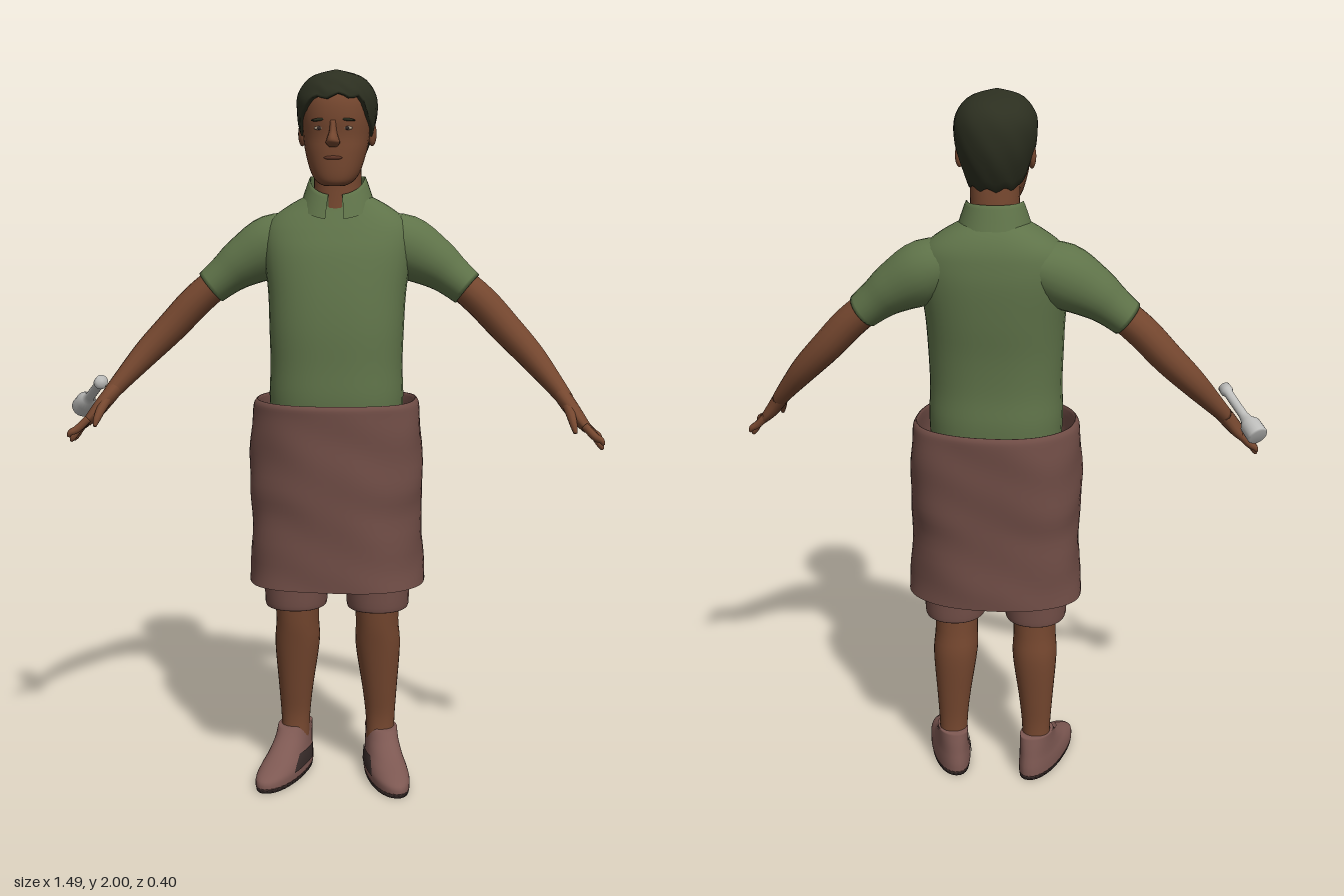
import * as THREE from 'three';

const mat = (name, color, double) => {
  const m = new THREE.MeshStandardMaterial({ color });
  m.name = name;
  if (double) m.side = THREE.DoubleSide;
  return m;
};
const TAU = Math.PI * 2;

// Catmull-Rom refinement of a table of section rows
function smooth(rows, k = 4) {
  const out = [], at = i => rows[Math.max(0, Math.min(rows.length - 1, i))];
  for (let i = 0; i < rows.length - 1; i++) {
    for (let j = 0; j < k; j++) {
      const t = j / k, [a, b, c, d] = [at(i - 1), at(i), at(i + 1), at(i + 2)];
      out.push(b.map((p1, n) => 0.5 * (2 * p1 + (c[n] - a[n]) * t + (2 * a[n] - 5 * p1 + 4 * c[n] - d[n]) * t * t
        + (3 * p1 - a[n] - 3 * c[n] + d[n]) * t * t * t)));
    }
  }
  out.push(at(rows.length - 1));
  return out;
}

// Skin a list of rings (arrays of Vector3), closed around and capped by default
function skin(name, rings, material, { open = false, cap = true } = {}) {
  const n = rings[0].length, pos = [], idx = [];
  rings.forEach(r => r.forEach(p => pos.push(p.x, p.y, p.z)));
  for (let i = 0; i < rings.length - 1; i++) {
    for (let j = 0; j < (open ? n - 1 : n); j++) {
      const a = i * n + j, b = i * n + (j + 1) % n;
      idx.push(a, b, a + n, b, b + n, a + n);
    }
  }
  if (cap && !open) [0, rings.length - 1].forEach((r, end) => {
    const c = new THREE.Vector3();
    rings[r].forEach(p => c.addScaledVector(p, 1 / n));
    pos.push(c.x, c.y, c.z);
    const ci = pos.length / 3 - 1;
    for (let j = 0; j < n; j++) {
      const a = r * n + j, b = r * n + (j + 1) % n;
      end ? idx.push(a, b, ci) : idx.push(b, a, ci);
    }
  });
  const g = new THREE.BufferGeometry();
  g.setAttribute('position', new THREE.Float32BufferAttribute(pos, 3));
  g.setIndex(idx);
  g.computeVertexNormals();
  const m = new THREE.Mesh(g, material);
  m.name = name;
  return m;
}

const sp = (v, e) => Math.sign(v) * Math.abs(v) ** (2 / e);
// Point on a level superellipse section: row = [y, centreX, halfWidth, zFront, zBack]
const sectionPoint = ([y, cx, rx, zf, zb], a, e = 2.2) =>
  new THREE.Vector3(cx + rx * sp(Math.sin(a), e), y, (zf + zb) / 2 + (zf - zb) / 2 * sp(Math.cos(a), e));

// Upright body part from level sections
function stack(name, rows, material, { n = 32, e = 2.2, arc, warp, cap = true, k = 4 } = {}) {
  const [a0, a1] = arc || [0, TAU];
  const rings = smooth(rows, k).map(row => Array.from({ length: n }, (_, j) => {
    const a = a0 + (a1 - a0) * j / (arc ? n - 1 : n);
    const p = sectionPoint(row, a, e);
    if (warp) warp(p, a);
    return p;
  }));
  return skin(name, rings, material, { open: !!arc, cap });
}

// Limb along a path: row = [x, y, z, radius, radiusTowardZ]
function limb(name, rows, material, s = 1, n = 16) {
  const R = smooth(rows), P = R.map(r => new THREE.Vector3(r[0] * s, r[1], r[2]));
  const rings = R.map((r, i) => {
    const T = P[Math.min(i + 1, P.length - 1)].clone().sub(P[Math.max(i - 1, 0)]).normalize();
    const V = new THREE.Vector3(0, 0, 1).addScaledVector(T, -T.z).normalize();
    const U = T.clone().cross(V);
    return Array.from({ length: n }, (_, j) => P[i].clone()
      .addScaledVector(V, r[4] * Math.cos(TAU * j / n)).addScaledVector(U, r[3] * Math.sin(TAU * j / n)));
  });
  return skin(name, rings, material);
}

export function createModel() {
  const skinM = mat('skin', 0x75472f), shirtM = mat('shirt green', 0x5f7349, true);
  const skirtM = mat('wrap brown', 0x704d46, true), shoeM = mat('shoe brown', 0x7d5852);
  const hairM = mat('hair', 0x2c2f20, true), darkM = mat('dark trim', 0x362a28, true);
  const metalM = mat('torch grey', 0xbcbcba), eyeM = mat('eye white', 0xb9a48c), lipM = mat('lips', 0x5f3526);

  const model = new THREE.Group(), body = new THREE.Group();
  body.name = 'body';
  body.position.x = 0.01;
  model.add(body);
  const add = (...m) => body.add(...m);
  const blob = (name, m, p, sc) => {
    const b = new THREE.Mesh(new THREE.SphereGeometry(1, 14, 10), m);
    b.name = name;
    b.position.set(...p);
    b.scale.set(...sc);
    add(b);
    return b;
  };

  // Shirt body
  add(stack('shirt', [[1.06, 0, 0.185, 0.162, -0.14], [1.12, 0, 0.187, 0.165, -0.142], [1.2, 0, 0.184, 0.16, -0.136],
    [1.3, 0, 0.187, 0.155, -0.14], [1.4, 0, 0.192, 0.14, -0.152], [1.5, 0, 0.205, 0.115, -0.159],
    [1.56, 0, 0.205, 0.09, -0.155], [1.6, 0, 0.185, 0.07, -0.147], [1.635, 0, 0.14, 0.052, -0.13],
    [1.665, 0, 0.085, 0.042, -0.105]], shirtM, { n: 40, e: 2.4 }));
  // Folded collar, open at the throat
  add(stack('collar', [[1.63, 0, 0.074, 0.052, -0.098], [1.71, 0, 0.074, 0.056, -0.098], [1.705, 0, 0.081, 0.063, -0.104],
    [1.65, 0, 0.1, 0.085, -0.122]], shirtM, {
    arc: [0.22, TAU - 0.22], k: 2,
    warp: (p, a) => { p.y -= 0.05 * Math.max(0, Math.cos(a)); }
  }));

  // Neck and head
  add(stack('neck', [[1.6, 0, 0.07, 0.058, -0.085], [1.66, 0, 0.066, 0.052, -0.09], [1.72, 0, 0.066, 0.05, -0.088],
    [1.79, 0, 0.068, 0.06, -0.08]], skinM));
  add(stack('head', [[1.69, 0, 0.028, 0.11, 0.05], [1.702, 0, 0.05, 0.12, 0.01], [1.73, 0, 0.068, 0.124, -0.03],
    [1.78, 0, 0.083, 0.124, -0.06], [1.82, 0, 0.09, 0.122, -0.085], [1.87, 0, 0.094, 0.126, -0.1],
    [1.92, 0, 0.09, 0.118, -0.1], [1.96, 0, 0.07, 0.09, -0.08], [1.98, 0, 0.03, 0.05, -0.02]], skinM));
  add(stack('nose', [[1.792, 0, 0.01, 0.132, 0.1], [1.803, 0, 0.019, 0.154, 0.1], [1.815, 0, 0.016, 0.156, 0.1],
    [1.835, 0, 0.01, 0.142, 0.1], [1.862, 0, 0.009, 0.13, 0.1]], skinM, { n: 14, e: 2 }));
  blob('mouth', lipM, [0, 1.764, 0.121], [0.025, 0.006, 0.007]);
  for (const s of [1, -1]) {
    blob('eye', eyeM, [s * 0.038, 1.842, 0.115], [0.014, 0.005, 0.005]);
    blob('pupil', darkM, [s * 0.038, 1.842, 0.118], [0.005, 0.005, 0.004]);
    blob('eyebrow', hairM, [s * 0.039, 1.864, 0.118], [0.021, 0.004, 0.006]).rotation.z = -s * 0.1;
    blob('ear', skinM, [s * 0.096, 1.83, 0.0], [0.011, 0.033, 0.02]).rotation.y = -s * 0.3;
  }

  // Hair cap: rows run from the hairline up to the crown
  const hairRows = smooth([[1.74, 0, 0.074, 0.12, -0.083], [1.8, 0, 0.09, 0.125, -0.115], [1.86, 0, 0.106, 0.131, -0.132],
    [1.92, 0, 0.11, 0.131, -0.13], [1.96, 0, 0.093, 0.115, -0.107], [1.985, 0, 0.062, 0.088, -0.06],
    [2, 0, 0.004, 0.034, 0.026]], 8);
  const hairAt = (y, a) => {
    let i = hairRows.findIndex(r => r[0] >= y);
    i = Math.max(1, i < 0 ? hairRows.length - 1 : i);
    const [lo, hi] = [hairRows[i - 1], hairRows[i]], t = (y - lo[0]) / (hi[0] - lo[0]);
    return sectionPoint(lo.map((v, c) => v + (hi[c] - v) * t), a, 2.1);
  };
  const line = [[-1, 1.752], [-0.5, 1.758], [-0.1, 1.81], [0.3, 1.835], [0.6, 1.88], [0.8, 1.918], [1.01, 1.925]];
  const hairline = a => {
    const c = Math.cos(a), i = line.findIndex(p => p[0] > c), [p, q] = [line[i - 1], line[i]];
    return p[1] + (q[1] - p[1]) * (c - p[0]) / (q[0] - p[0]) + 0.006 * Math.sin(11 * a) + 0.008 * Math.sin(a) * Math.max(0, c);
  };
  const hairRings = [];
  for (let i = -1; i <= 18; i++) {
    hairRings.push(Array.from({ length: 48 }, (_, j) => {
      const a = TAU * j / 48, t = Math.sin(Math.max(0, i) / 18 * Math.PI / 2), y0 = hairline(a);
      const p = hairAt(y0 + (2 - y0) * t, a);
      if (i < 0) { p.x *= 0.8; p.z = 0.01 + (p.z - 0.01) * 0.8; }
      else { const f = 1 + 0.012 * Math.sin(9 * a + i) * (1 - t); p.x *= f; p.z *= f; }
      return p;
    }));
  }
  add(skin('hair', hairRings, hairM));

  // Wrap skirt: outer wall up, rim, inner wall down, with soft folds
  add(stack('wrapSkirt', [[0.585, 0, 0.25, 0.196, -0.18], [0.65, 0, 0.244, 0.194, -0.182], [0.78, 0, 0.238, 0.193, -0.183],
    [0.87, 0, 0.243, 0.196, -0.19], [0.98, 0, 0.241, 0.193, -0.195], [1.06, 0, 0.234, 0.193, -0.196], [1.093, 0, 0.228, 0.193, -0.194],
    [1.093, 0, 0.217, 0.182, -0.183], [0.98, 0, 0.226, 0.18, -0.18], [0.78, 0, 0.224, 0.18, -0.17],
    [0.585, 0, 0.238, 0.184, -0.168]], skirtM, {
    n: 64, e: 2.5, cap: false,
    warp: (p, a) => {
      const f = 1 + 0.01 * Math.sin(5 * a + 9 * p.y) + 0.007 * Math.sin(42 * p.y + 3 * Math.sin(2 * a));
      p.x *= f; p.z *= f;
    }
  }));

  for (const s of [1, -1]) {
    // Sleeve and arm
    add(limb('sleeve', [[0.08, 1.56, -0.05, 0.06, 0.08], [0.18, 1.525, -0.05, 0.088, 0.09], [0.265, 1.48, -0.046, 0.072, 0.076],
      [0.315, 1.444, -0.042, 0.058, 0.064], [0.361, 1.407, -0.038, 0.051, 0.058]], shirtM, s, 24));
    add(limb('arm', [[0.32, 1.44, -0.04, 0.044, 0.05], [0.4, 1.372, -0.034, 0.046, 0.052], [0.47, 1.298, -0.024, 0.044, 0.05],
      [0.54, 1.225, 0.0, 0.038, 0.043], [0.6, 1.155, 0.037, 0.028, 0.034], [0.635, 1.112, 0.064, 0.022, 0.028]], skinM, s));
    // Hand with four fingers and a thumb
    add(limb('palm', [[0.618, 1.132, 0.052, 0.022, 0.027], [0.642, 1.1, 0.075, 0.022, 0.036], [0.668, 1.066, 0.093, 0.019, 0.043],
      [0.693, 1.038, 0.105, 0.013, 0.04]], skinM, s));
    [[0.139, 0.16, 1.005], [0.117, 0.133, 0.988], [0.094, 0.1, 0.986], [0.073, 0.07, 1.003]].forEach(([z0, z1, y]) =>
      add(limb('finger', [[0.682, 1.052, z0 - 0.003, 0.011, 0.012], [0.708, 1.026, (z0 + z1) / 2, 0.011, 0.011],
        [0.725, y + 0.012, z1, 0.009, 0.009], [0.731, y, z1, 0.004, 0.004]], skinM, s, 10)));
    add(limb('thumb', [[0.635, 1.105, 0.085, 0.014, 0.016], [0.645, 1.08, 0.125, 0.013, 0.014],
      [0.652, 1.055, 0.153, 0.01, 0.011], [0.656, 1.036, 0.165, 0.005, 0.005]], skinM, s, 10));

    // Shorts leg and bare leg
    add(stack('shortsLeg', [[0.505, s * 0.117, 0.085, 0.1, -0.108], [0.52, s * 0.117, 0.089, 0.105, -0.111],
      [0.62, s * 0.115, 0.092, 0.108, -0.112], [0.8, s * 0.105, 0.1, 0.125, -0.13], [1.05, s * 0.085, 0.085, 0.12, -0.12]], skirtM));
    add(stack('leg', [[0.08, s * 0.124, 0.04, 0.015, -0.08], [0.16, s * 0.124, 0.042, 0.01, -0.077], [0.25, s * 0.122, 0.05, 0.025, -0.085],
      [0.38, s * 0.117, 0.064, 0.05, -0.097], [0.46, s * 0.115, 0.061, 0.065, -0.09], [0.56, s * 0.115, 0.066, 0.075, -0.085]], skinM));

    // Shoe turned outward, with thin sole and dark inner side panel
    const turn = p => { p.x += s * 0.25 * p.z; }, cx = s * 0.136;
    add(stack('sole', [[0, cx, 0.056, 0.196, -0.108], [0.012, cx, 0.058, 0.199, -0.109]], darkM, { warp: turn, k: 1 }));
    add(stack('shoe', [[0.011, cx, 0.058, 0.199, -0.109], [0.032, cx, 0.058, 0.194, -0.109], [0.05, cx, 0.055, 0.158, -0.107],
      [0.07, cx, 0.05, 0.105, -0.104], [0.1, cx, 0.046, 0.048, -0.1], [0.132, cx, 0.045, 0.016, -0.094]], shoeM, { warp: turn }));
    add(stack('shoePanel', [[0.032, cx, 0.061, 0.197, -0.111], [0.05, cx, 0.058, 0.161, -0.109], [0.068, cx, 0.053, 0.112, -0.106]],
      darkM, { warp: turn, n: 12, arc: s > 0 ? [-1.95, -1.1] : [1.1, 1.95] }));
  }

  // Hand torch held in the right hand
  const torch = new THREE.Mesh(new THREE.LatheGeometry([[0, 0], [0.017, 0], [0.018, 0.02], [0.013, 0.03], [0.013, 0.115],
    [0.018, 0.135], [0.029, 0.152], [0.03, 0.195], [0.026, 0.2], [0, 0.2]].map(p => new THREE.Vector2(...p)), 20), metalM);
  torch.name = 'torch';
  const tail = new THREE.Vector3(-0.623, 1.163, 0.16), dir = new THREE.Vector3(-0.1, -0.1, -0.15).normalize();
  torch.position.copy(tail);
  torch.quaternion.setFromUnitVectors(new THREE.Vector3(0, 1, 0), dir);
  model.add(torch);
  return model;
}
